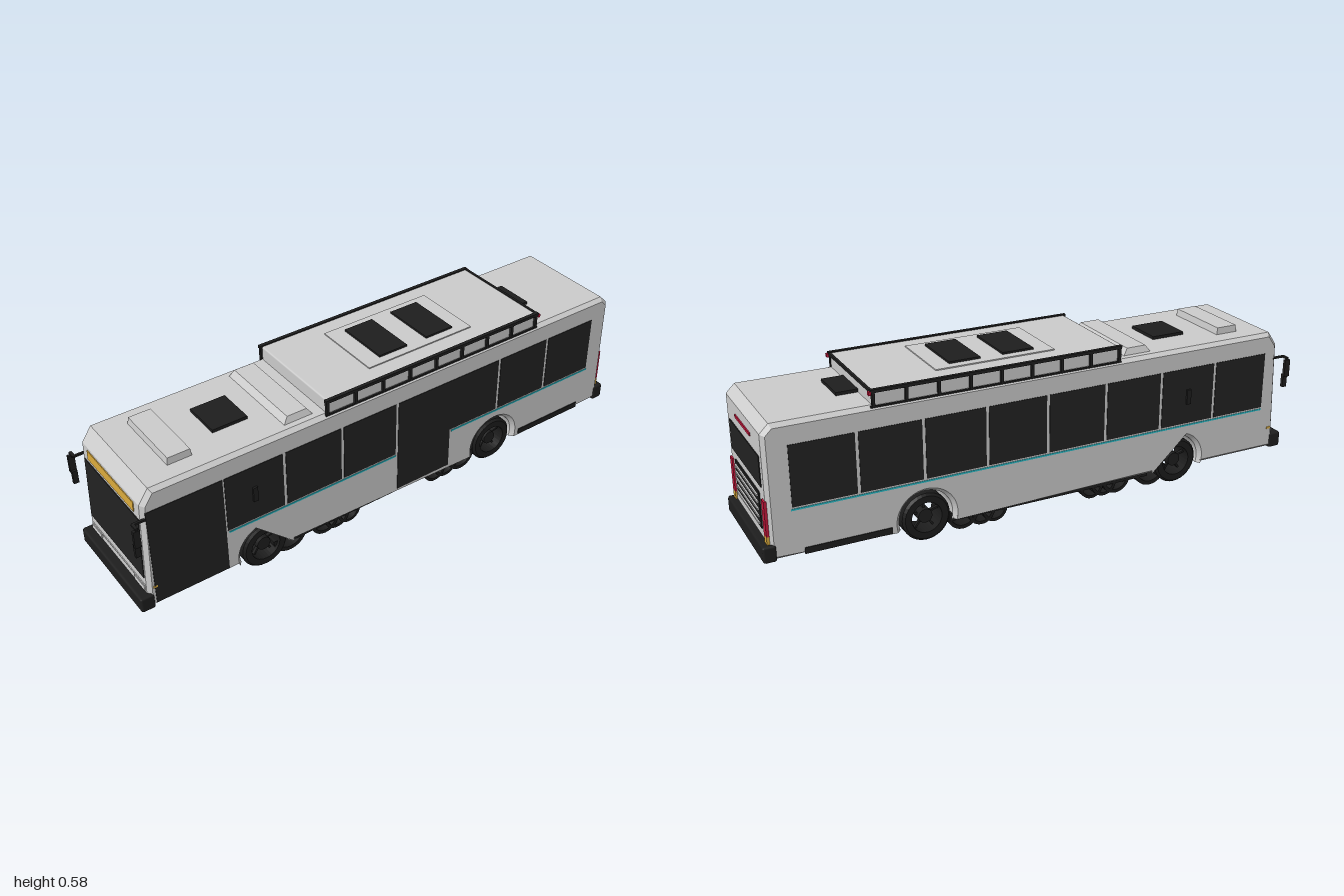
import * as THREE from 'three';
import { RoundedBoxGeometry } from 'three/addons/geometries/RoundedBoxGeometry.js';

const mat = (name, color, side = THREE.FrontSide) => {
  const m = new THREE.MeshStandardMaterial({ color, side });
  m.name = name;
  return m;
};

export function createModel() {
  const bus = new THREE.Group();
  bus.name = 'bus';
  const paint = mat('greyPaint', 0xcccccc);
  const glass = mat('darkGlass', 0x222222);
  const trim = mat('blackTrim', 0x1e1e1e);
  const rubber = mat('tyreRubber', 0x1c1c1c, THREE.DoubleSide);
  const amber = mat('amber', 0xd9a93c);
  const red = mat('redLamp', 0xc4183c);
  const cyan = mat('cyanStripe', 0x2bbcc8);
  const lamp = mat('headlampGrey', 0xd6d6d6);

  const add = (name, geo, material, x = 0, y = 0, z = 0) => {
    const m = new THREE.Mesh(geo, material);
    m.name = name;
    m.position.set(x, y, z);
    bus.add(m);
    return m;
  };
  // box given by its limits on each axis
  const box = (name, material, x0, x1, y0, y1, z0, z1, r = 0) => {
    const s = [x1 - x0, y1 - y0, z1 - z0];
    const geo = r ? new RoundedBoxGeometry(...s, 1, r) : new THREE.BoxGeometry(...s);
    return add(name, geo, material, (x0 + x1) / 2, (y0 + y1) / 2, (z0 + z1) / 2);
  };
  // same box on the right and left sides
  const pair = (name, material, x0, x1, ...rest) => {
    box(name + 'Left', material, x0, x1, ...rest);
    box(name + 'Right', material, -x1, -x0, ...rest);
  };

  // body: side profile with wheel arches, extruded across the width with a bevel
  const axles = [0.535, -0.445];
  const profile = new THREE.Shape();
  profile.moveTo(-0.975, 0.057);
  for (const z of [...axles].reverse()) {
    profile.lineTo(z - 0.092, 0.057);
    profile.absarc(z, 0.085, 0.096, Math.PI + 0.29, -0.29, true);
    profile.lineTo(z + 0.092, 0.057);
  }
  [[0.97, 0.057], [0.955, 0.465], [0.92, 0.515], [-0.945, 0.515], [-0.975, 0.485]]
    .forEach(p => profile.lineTo(...p));
  profile.closePath();
  const bodyGeo = new THREE.ExtrudeGeometry(profile, {
    depth: 0.38, bevelEnabled: true, bevelSize: 0.013, bevelThickness: 0.015,
    bevelOffset: -0.013, bevelSegments: 1, curveSegments: 20,
  });
  bodyGeo.translate(0, 0, -0.19).rotateY(-Math.PI / 2);
  add('body', bodyGeo, paint);

  // side windows; two bays on the left are doors
  for (let i = 0; i < 8; i++) {
    const z1 = 0.9 - i * 0.2258, z0 = z1 - 0.215;
    box('windowRight', glass, -0.207, -0.203, 0.23, 0.44, z0, z1);
    if (i === 0) box('frontDoor', glass, 0.203, 0.207, 0.072, 0.44, 0.68, 0.945);
    else if (i === 4) box('middleDoor', glass, 0.203, 0.207, 0.072, 0.44, -0.232, -0.003);
    else box('windowLeft', glass, 0.203, 0.207, 0.23, 0.44, z0, z1);
  }
  box('stripeRight', cyan, -0.207, -0.203, 0.218, 0.224, -0.9, 0.9);
  box('stripeLeftFront', cyan, 0.203, 0.207, 0.218, 0.224, 0.005, 0.67);
  box('stripeLeftRear', cyan, 0.203, 0.207, 0.218, 0.224, -0.9, -0.24);
  pair('sideHandle', trim, 0.205, 0.214, 0.305, 0.36, 0.56, 0.577);
  pair('rearSill', trim, 0.2, 0.208, 0.06, 0.082, -0.865, -0.57);
  pair('middleSill', trim, 0.17, 0.19, 0.046, 0.075, -0.36, 0.42);
  box('underfloor', trim, -0.11, 0.11, 0.046, 0.062, -0.34, 0.42);

  // front face details, lying on the raked front
  const front = (name, material, x0, x1, y0, y1, lift = 0.001) => {
    const zf = 0.97 - 0.0368 * ((y0 + y1) / 2 - 0.057) + lift;
    box(name, material, x0, x1, y0, y1, zf - 0.002, zf + 0.002).rotation.x = -0.0368;
  };
  front('windscreen', glass, -0.183, 0.183, 0.172, 0.407);
  front('destinationSign', amber, -0.155, 0.155, 0.42, 0.455);
  front('frontSeam', lamp, -0.183, 0.183, 0.139, 0.143);
  for (const s of [-1, 1]) {
    front('headlamp', lamp, s * 0.149 - 0.034, s * 0.149 + 0.034, 0.119, 0.136, 0.002);
  }
  pair('sideMarker', amber, 0.2, 0.207, 0.135, 0.143, 0.935, 0.95);
  box('frontBumper', trim, -0.209, 0.209, 0.055, 0.113, 0.95, 1, 0.008);
  box('rearBumper', trim, -0.209, 0.209, 0.055, 0.113, -1, -0.955, 0.008);

  // mirrors on short arms
  pair('mirrorArm', trim, 0.198, 0.206, 0.411, 0.418, 0.94, 0.99);
  pair('mirrorBracket', trim, 0.2, 0.228, 0.411, 0.418, 0.982, 0.992);
  pair('mirror', trim, 0.218, 0.229, 0.343, 0.408, 0.978, 1);
  pair('lowerMirror', trim, 0.209, 0.221, 0.3, 0.35, 0.98, 0.998);

  // rear face
  box('rearWindow', glass, -0.167, 0.167, 0.3, 0.405, -0.978, -0.973);
  box('brakeLight', red, -0.085, 0.085, 0.44, 0.45, -0.979, -0.973);
  box('engineGrille', trim, -0.138, 0.138, 0.145, 0.272, -0.979, -0.973);
  for (let i = 0; i < 5; i++) {
    const y = 0.155 + i * 0.0245;
    box('grilleSlat', paint, -0.127, 0.127, y, y + 0.007, -0.984, -0.975);
  }
  pair('tailLamp', red, 0.168, 0.194, 0.14, 0.262, -0.981, -0.965);
  pair('rearIndicator', amber, 0.168, 0.194, 0.113, 0.14, -0.981, -0.965);

  // roof pod with side rails and posts
  box('roofPod', paint, -0.193, 0.193, 0.505, 0.565, -0.615, 0.28, 0.006);
  pair('podRail', trim, 0.19, 0.203, 0.557, 0.568, -0.622, 0.287);
  pair('podLowerRail', trim, 0.192, 0.2, 0.505, 0.512, -0.622, 0.287);
  for (let i = 0; i < 9; i++) {
    const z = 0.28 - i * 0.1115;
    pair('podPost', trim, 0.191, 0.202, 0.508, 0.56, z - 0.005, z + 0.005);
  }
  box('podRearRail', trim, -0.198, 0.198, 0.557, 0.566, -0.622, -0.613);
  pair('podMarker', red, 0.19, 0.204, 0.55, 0.562, -0.628, -0.62);
  box('podPanel', paint, -0.13, 0.13, 0.56, 0.569, -0.37, 0.065);
  box('podHatchRear', trim, -0.1, 0.1, 0.565, 0.576, -0.31, -0.197);
  box('podHatchFront', trim, -0.1, 0.1, 0.565, 0.576, -0.115, 0);
  box('roofHatchFront', trim, -0.07, 0.07, 0.512, 0.526, 0.5, 0.628);
  box('roofHatchRear', trim, -0.07, 0.07, 0.512, 0.526, -0.69, -0.57);

  // roof units with tapered tops
  const roofUnit = (name, halfX, z0, z1, y1, taper) => {
    const m = box(name, paint, -halfX, halfX, 0.505, y1, z0, z1);
    const p = m.geometry.attributes.position;
    for (let i = 0; i < p.count; i++) if (p.getY(i) > 0) {
      p.setX(i, p.getX(i) - Math.sign(p.getX(i)) * taper * 0.5);
      p.setZ(i, p.getZ(i) - Math.sign(p.getZ(i)) * taper);
    }
    m.geometry.computeVertexNormals();
  };
  roofUnit('airConditioner', 0.172, 0.31, 0.432, 0.538, 0.024);
  roofUnit('frontRoofUnit', 0.13, 0.733, 0.822, 0.54, 0.005);

  // wheels: hollow tyre, hub and spokes, joined by an axle
  const tyrePoints = [[0.054, -0.045], [0.077, -0.045], [0.085, -0.037], [0.085, 0.037],
    [0.077, 0.045], [0.054, 0.045], [0.054, -0.045]].map(p => new THREE.Vector2(...p));
  const tyreGeo = new THREE.LatheGeometry(tyrePoints, 32).toNonIndexed();
  tyreGeo.rotateZ(Math.PI / 2).computeVertexNormals();
  const hubGeo = new THREE.CylinderGeometry(0.025, 0.025, 0.06, 16).rotateZ(Math.PI / 2);
  for (const z of axles) {
    add('axle', new THREE.CylinderGeometry(0.012, 0.012, 0.3, 12).rotateZ(Math.PI / 2), trim, 0, 0.085, z);
    for (const s of [-1, 1]) {
      add('tyre', tyreGeo, rubber, s * 0.153, 0.085, z);
      add('hub', hubGeo, trim, s * 0.155, 0.085, z);
      for (let k = 0; k < 5; k++) {
        const a = k * Math.PI * 0.4;
        const spoke = add('spoke', new THREE.BoxGeometry(0.012, 0.034, 0.007), trim,
          s * 0.165, 0.085 + 0.04 * Math.cos(a), z + 0.04 * Math.sin(a));
        spoke.rotation.x = a;
      }
    }
  }

  // curved shells hanging under the floor between the axles
  const shells = [[0.433, 0.066], [0.29, 0.056], [0.24, 0.05], [0.19, 0.046],
    [-0.19, 0.046], [-0.24, 0.05], [-0.31, 0.058]];
  for (const [z, r] of shells) for (const s of [-1, 1]) {
    for (const k of [1, 0.78]) {
      const g = new THREE.CylinderGeometry(r * k, r * k, 0.075, 20, 1, true, 0, Math.PI);
      g.rotateZ(-Math.PI / 2);
      add('underfloorShell', g, rubber, s * 0.15, 0.007 + r, z);
    }
    // annular side wall of the shell
    const wall = new THREE.RingGeometry(r * 0.78, r, 20, 1, Math.PI, Math.PI).rotateY(Math.PI / 2);
    add('underfloorShellWall', wall, rubber, s * 0.1875, 0.007 + r, z);
  }
  return bus;
}
